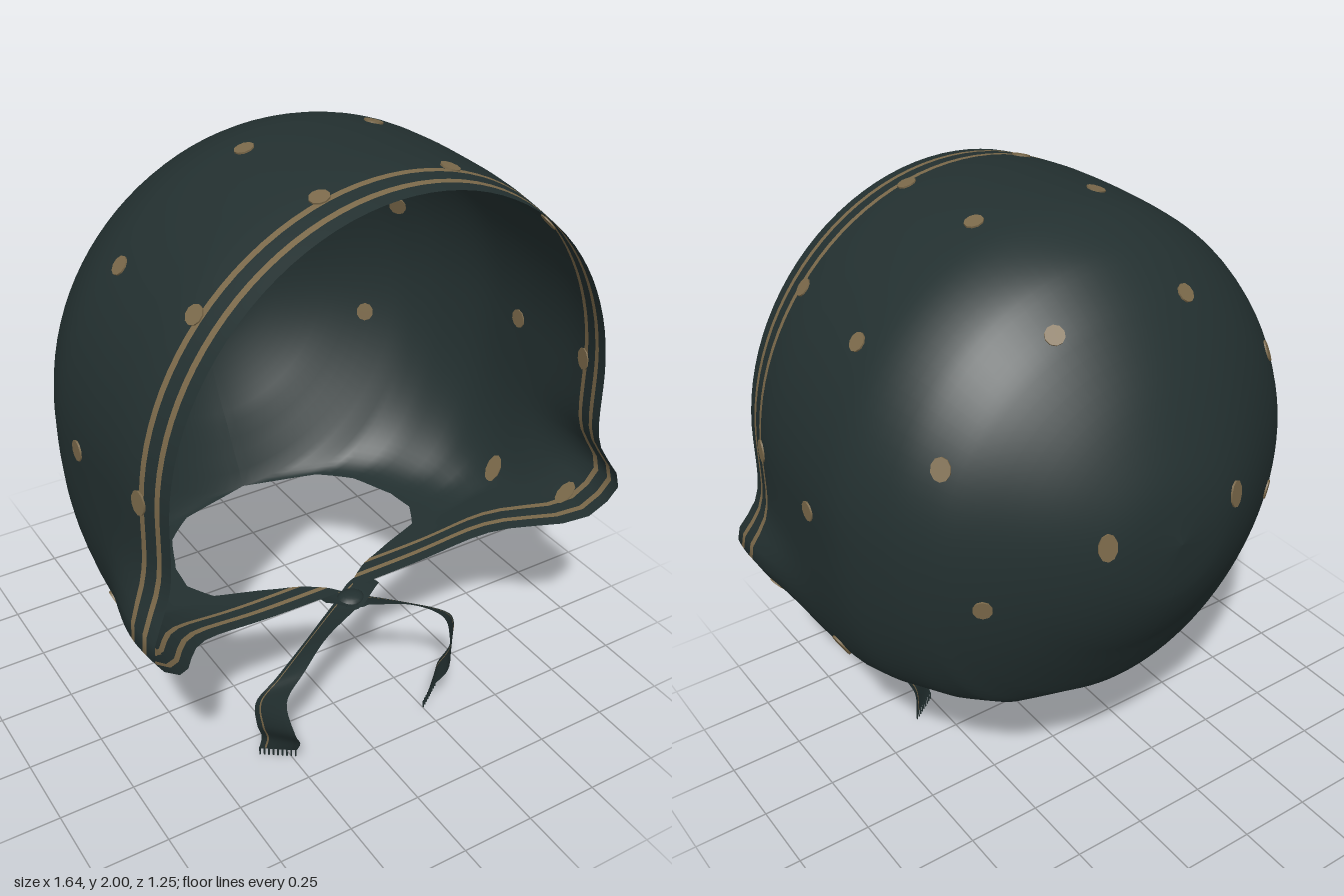
import * as THREE from 'three';

const fabric = new THREE.MeshStandardMaterial({ color: 0x233030, side: THREE.DoubleSide });
fabric.name = 'dark green fabric';
const tan = new THREE.MeshStandardMaterial({ color: 0x7b694a, side: THREE.DoubleSide });
tan.name = 'tan print';

// Hood stations from face rim to back: z, half width, top, bottom, half width of neck hole
const stations = [
  [0.59, 0.73, 1.97, 0.54, 0.02], [0.55, 0.738, 1.977, 0.54, 0.05], [0.53, 0.742, 1.98, 0.54, 0.07],
  [0.487, 0.752, 1.986, 0.54, 0.12], [0.467, 0.756, 1.988, 0.54, 0.15], [0.4, 0.767, 1.995, 0.54, 0.25],
  [0.3, 0.775, 2, 0.54, 0.38], [0.1, 0.78, 2, 0.54, 0.43], [-0.05, 0.77, 1.985, 0.54, 0.42],
  [-0.2, 0.715, 1.93, 0.54, 0.36], [-0.29, 0.66, 1.86, 0.54, 0.26], [-0.36, 0.6, 1.79, 0.54, 0.0],
  [-0.47, 0.45, 1.64, 0.74, 0], [-0.55, 0.31, 1.49, 0.88, 0], [-0.6, 0.18, 1.36, 1.01, 0],
  [-0.625, 0, 1.2, 1.2, 0],
];
const LAST = stations.length - 1;
const stripeBands = [1, 3];
const outer = new THREE.CatmullRomCurve3(stations.map(s => new THREE.Vector3(s[0], s[1], s[2])));
const lower = (v, k) => {
  const i = Math.min(Math.floor(v), LAST - 1);
  return THREE.MathUtils.lerp(stations[i][k], stations[i + 1][k], v - i);
};
const bump = d => Math.exp(-d * d);
const smooth = THREE.MathUtils.smoothstep;

// Point on the hood: v runs front to back, u runs -1..1 over the crown
function hoodPoint(u, v) {
  const { x: z, y: W, z: T } = outer.getPoint(v / LAST);
  const B = lower(v, 3), h = lower(v, 4), cy = 1.2;
  const a = Math.PI * Math.abs(u);
  const n = a < Math.PI / 2 ? 2 : 2 + 2 * smooth(z, -0.3, 0.5);
  const c = Math.abs(Math.sin(a)), s = Math.abs(Math.cos(a));
  const r = Math.pow(Math.pow(c, n) + Math.pow(s, n), -1 / n);
  let x, y;
  if (a < Math.PI / 2) {
    x = W * c * r;
    y = cy + (T - cy) * s * r;
  } else {
    x = h + (W - h) * c * r;
    y = cy - (cy - B) * s * r;
    x += 0.1 * bump((y - 0.83) / 0.12) * smooth(z, 0.15, 0.59);
  }
  // cheek flare, then the rim swings back under the chin
  const dz = 0.04 * bump((y - 0.83) / 0.1) - 0.27 * (1 - smooth(y, 0.54, 0.74));
  return new THREE.Vector3(Math.sign(u) * x, y, z + dz * smooth(z, -0.1, 0.59));
}

// Grid surface with a material index per cell
function gridMesh(name, rows, cols, pointAt, materialAt) {
  const pos = [], cells = [[], []];
  for (let i = 0; i <= rows; i++)
    for (let j = 0; j <= cols; j++) pos.push(...pointAt(i, j).toArray());
  for (let i = 0; i < rows; i++)
    for (let j = 0; j < cols; j++) {
      const a = i * (cols + 1) + j, b = a + cols + 1;
      cells[materialAt(i, j)].push(a, a + 1, b, a + 1, b + 1, b);
    }
  const g = new THREE.BufferGeometry();
  g.setAttribute('position', new THREE.Float32BufferAttribute(pos, 3));
  g.setIndex([...cells[0], ...cells[1]]);
  g.addGroup(0, cells[0].length, 0);
  g.addGroup(cells[0].length, cells[1].length, 1);
  g.computeVertexNormals();
  const m = new THREE.Mesh(g, [fabric, tan]);
  m.name = name;
  return m;
}

// Nearest hood parameters to a target point
function findOnHood(target) {
  let best = [0, 5], du = 1, dv = LAST / 2;
  best = [0, LAST / 2];
  for (let pass = 0; pass < 5; pass++) {
    const [u0, v0] = best;
    let min = Infinity;
    for (let i = -20; i <= 20; i++)
      for (let j = -20; j <= 20; j++) {
        const u = THREE.MathUtils.clamp(u0 + du * i / 20, -0.99, 0.99);
        const v = THREE.MathUtils.clamp(v0 + dv * j / 20, 0, LAST - 0.05);
        const d = hoodPoint(u, v).distanceToSquared(target);
        if (d < min) { min = d; best = [u, v]; }
      }
    du /= 6; dv /= 6;
  }
  return best;
}

// Thin printed dot that shows on both faces of the cloth
function makeDot(x, y, z, stretch) {
  const [u, v] = findOnHood(new THREE.Vector3(x, y, z));
  const p = hoodPoint(u, v), e = 0.01;
  const along = hoodPoint(u + e, v).sub(hoodPoint(u - e, v));
  const back = hoodPoint(u, v + e).sub(hoodPoint(u, Math.max(0, v - e)));
  const n = along.cross(back).normalize();
  const dot = new THREE.Mesh(new THREE.CylinderGeometry(0.029, 0.029, 0.009, 10), tan);
  dot.scale.z = stretch;
  dot.position.copy(p);
  const side = new THREE.Vector3(0, 1, 0).cross(n).normalize();
  dot.quaternion.setFromRotationMatrix(new THREE.Matrix4().makeBasis(side, n, side.clone().cross(n)));
  dot.name = 'printedDot';
  return dot;
}

// Ribbon tie with a tan line and a fringed end
function makeTie(side, drop) {
  const tie = new THREE.Group();
  tie.name = side > 0 ? 'leftTie' : 'rightTie';
  const V = (x, y, z) => new THREE.Vector3(x * side, y, z);
  const mid = new THREE.CatmullRomCurve3([
    V(-0.1, 0.535, 0.3), V(0.02, 0.512, 0.35), V(0.17, 0.475, 0.41), V(0.29, 0.41, 0.45),
    V(0.345, 0.31, 0.43), V(0.335, 0.2, 0.44), V(0.3, 0.11, 0.41), V(0.3, drop + 0.025, 0.39)]);
  const half = new THREE.CatmullRomCurve3([
    V(0, 0.012, 0.05), V(0, 0.012, 0.05), V(-0.01, 0.025, 0.04), V(-0.03, 0.025, 0.035),
    V(-0.035, 0.01, 0.035), V(-0.04, 0, 0.05), V(-0.045, 0, 0.045), V(-0.05, 0, 0.035)]);
  const across = [-1, -0.72, -0.62, 0, 0.62, 0.72, 1];
  const at = (t, w) => mid.getPoint(t).addScaledVector(half.getPoint(t), w);
  tie.add(gridMesh('ribbon', 40, 6, (i, j) => at(i / 40, across[j]), (i, j) => (j === 1 ? 1 : 0)));
  for (let k = 0; k < 9; k++) {
    const thread = new THREE.Mesh(new THREE.BoxGeometry(0.004, 0.03, 0.004), fabric);
    thread.position.copy(at(1, -0.95 + k * 0.2375));
    thread.position.y -= 0.01;
    thread.name = 'fringeThread';
    tie.add(thread);
  }
  return tie;
}

export function createModel() {
  const model = new THREE.Group();
  model.name = 'bonnet';

  // Hood with two stripes following the face opening
  const sub = 4, cols = 96;
  model.add(gridMesh('hood', LAST * sub, cols,
    (i, j) => hoodPoint((j / cols) * 2 - 1, i / sub),
    i => (stripeBands.includes(Math.floor(i / sub)) ? 1 : 0)));

  // Dots, mirrored left and right
  const dots = new THREE.Group();
  dots.name = 'printedDots';
  const spots = [
    [0.23, 1.26, -0.58, 1.5], [0.53, 1.07, -0.41, 1.1], [0.585, 1.5, -0.31, 1.2], [0.23, 1.81, -0.34, 1],
    [0.59, 1.71, 0.08, 1], [0.21, 1.97, 0.08, 1], [0.77, 1.21, 0.12, 1.1], [0.67, 0.68, 0.15, 1.7],
    [0.56, 1.72, 0.455, 1], [0.2, 1.95, 0.455, 1], [0.75, 1.23, 0.465, 1.3], [0.75, 0.73, 0.46, 1.5]];
  for (const [x, y, z, stretch] of spots)
    for (const s of [1, -1]) dots.add(makeDot(s * x, y, z, stretch));
  model.add(dots);

  // Knot and crossing ties under the chin
  const knot = new THREE.Mesh(new THREE.SphereGeometry(0.03, 16, 10), fabric);
  knot.scale.set(1.5, 0.6, 1.3);
  knot.position.set(0, 0.52, 0.34);
  knot.name = 'knot';
  model.add(knot, makeTie(1, 0), makeTie(-1, 0.03));
  return model;
}
